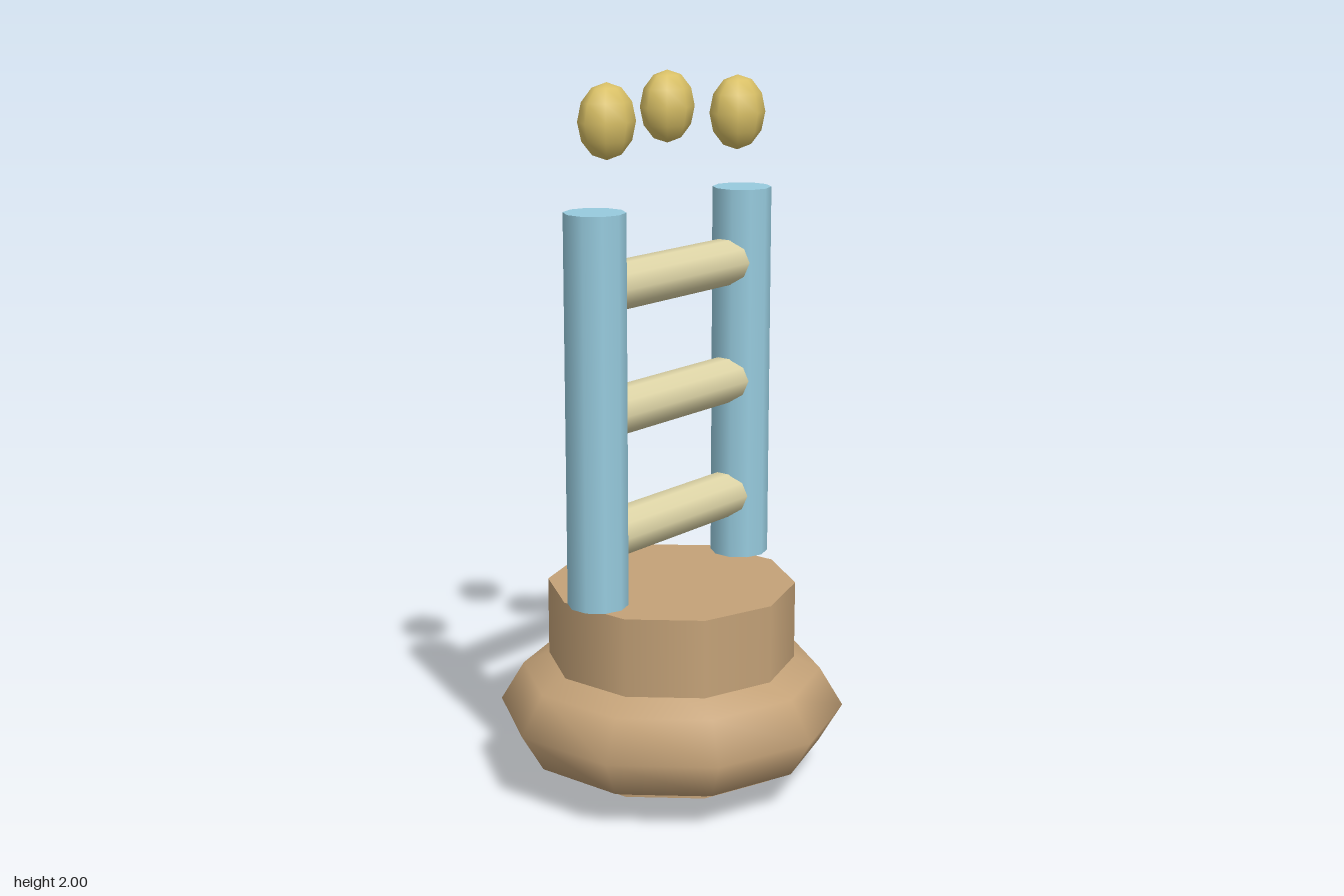
import * as THREE from 'three';

function makeMaterial(name, color) {
  const material = new THREE.MeshStandardMaterial({ color });
  material.name = name;
  return material;
}

export function createModel() {
  const model = new THREE.Group();
  const tan = makeMaterial('tan', 0xc4a278);
  const blue = makeMaterial('light blue', 0x97cbde);
  const cream = makeMaterial('cream', 0xddd4a6);
  const gold = makeMaterial('gold', 0xd9c066);

  function add(name, geometry, material, x, y, z) {
    const mesh = new THREE.Mesh(geometry, material);
    mesh.name = name;
    mesh.position.set(x, y, z);
    model.add(mesh);
    return mesh;
  }

  // Ten-sided pedestal through a squashed, bulging foot
  add('pedestal', new THREE.CylinderGeometry(0.35, 0.35, 0.515, 10), tan, 0, 0.3275, 0);
  const foot = new THREE.SphereGeometry(0.49, 10, 6).rotateY(Math.PI / 2).scale(1, 0.22 / 0.49, 1);
  add('foot', foot, tan, 0, 0.22, 0);

  // Two upright rails
  const rail = new THREE.CylinderGeometry(0.083, 0.083, 1.07, 10);
  add('leftRail', rail, blue, 0.316, 1.135, 0);
  add('rightRail', rail, blue, -0.316, 1.135, 0);

  // Rungs, with their ends buried in the rails
  const rung = new THREE.CylinderGeometry(0.0665, 0.0665, 0.63, 10).rotateZ(Math.PI / 2);
  for (let i = 0; i < 3; i++) add(`rung${i + 1}`, rung, cream, 0, 0.785 + i * 0.34, 0);

  // Three floating beads arranged in a flattened ring
  const bead = new THREE.SphereGeometry(1, 8, 6).scale(0.086, 0.1, 0.068);
  for (let i = 0; i < 3; i++) {
    const a = Math.PI + (i * 2 * Math.PI) / 3;
    add(`bead${i + 1}`, bead, gold, 0.265 * Math.cos(a), 1.9, 0.14 * Math.sin(a));
  }

  return model;
}
